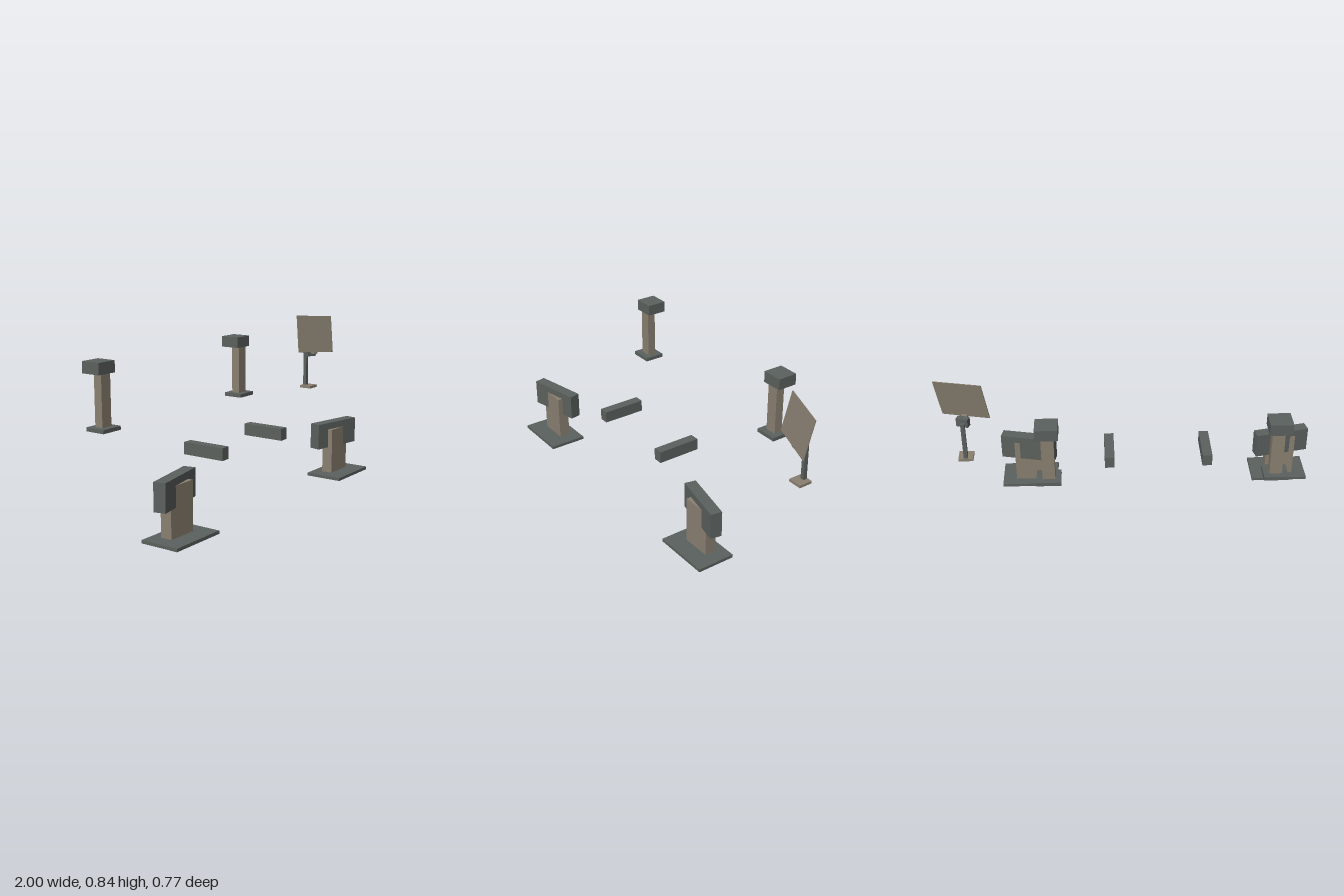
import * as THREE from 'three';

export function createModel() {
  const model = new THREE.Group();
  model.name = 'targetStands';
  const grey = new THREE.MeshStandardMaterial({ color: 0x5b615e });
  grey.name = 'dark grey';
  const tan = new THREE.MeshStandardMaterial({ color: 0x8a8071 });
  tan.name = 'warm grey';

  // Box from its size and its centre
  function box(parent, name, material, size, centre, yaw = 0) {
    const mesh = new THREE.Mesh(new THREE.BoxGeometry(...size), material);
    mesh.name = name;
    mesh.position.set(...centre);
    mesh.rotation.y = yaw;
    parent.add(mesh);
    return mesh;
  }
  function group(name, x = 0) {
    const g = new THREE.Group();
    g.name = name;
    g.position.x = x;
    model.add(g);
    return g;
  }

  // Front consoles, their heads turned in towards the middle
  for (const [name, x, yaw] of [['rightConsole', -0.846, 0.21], ['leftConsole', 0.562, -0.21]]) {
    const g = group(name, x);
    box(g, 'consoleBase', grey, [0.308, 0.016, 0.203], [0, 0.008, 0.2815]);
    box(g, 'consolePost', tan, [0.158, 0.244, 0.06], [0, 0.138, 0.26]);
    box(g, 'consoleHead', grey, [0.3, 0.138, 0.06], [0, 0.227, 0.25], yaw);
  }

  // Rear pillars
  for (const [name, x] of [['rightPillar', -0.7115], ['leftPillar', 0.428]]) {
    const g = group(name, x);
    box(g, 'pillarBase', grey, [0.124, 0.02, 0.112], [0, 0.41, -0.305]);
    box(g, 'pillarPost', tan, [0.064, 0.268, 0.047], [0, 0.552, -0.306]);
    box(g, 'pillarHead', grey, [0.114, 0.06, 0.109], [0, 0.714, -0.328]);
  }

  // Floating rails
  for (const [name, x] of [['rightRail', -0.404], ['leftRail', 0.118]]) {
    box(model, name, grey, [0.052, 0.063, 0.236], [x, 0.295, 0.09]);
  }

  // Tilted panel on a thin stand
  const stand = group('panelStand');
  box(stand, 'panelBase', tan, [0.076, 0.014, 0.073], [0.86, 0.412, -0.1]);
  box(stand, 'panelPost', grey, [0.021, 0.205, 0.02], [0.86, 0.521, -0.12]);
  box(stand, 'panelBracket', grey, [0.063, 0.046, 0.032], [0.86, 0.619, -0.09], -0.32);
  box(stand, 'panelJoint', tan, [0.03, 0.022, 0.036], [0.856, 0.624, -0.062], -0.32);
  const panel = box(stand, 'panel', tan, [0.264, 0.215, 0.004], [0.861, 0.7295, -0.0595]);
  const right = new THREE.Vector3(0.2475, -0.019, 0.083).normalize();
  const normal = right.clone().cross(new THREE.Vector3(0.0225, 0.211, -0.035)).normalize();
  const up = normal.clone().cross(right);
  panel.quaternion.setFromRotationMatrix(new THREE.Matrix4().makeBasis(right, up, normal));

  return model;
}
